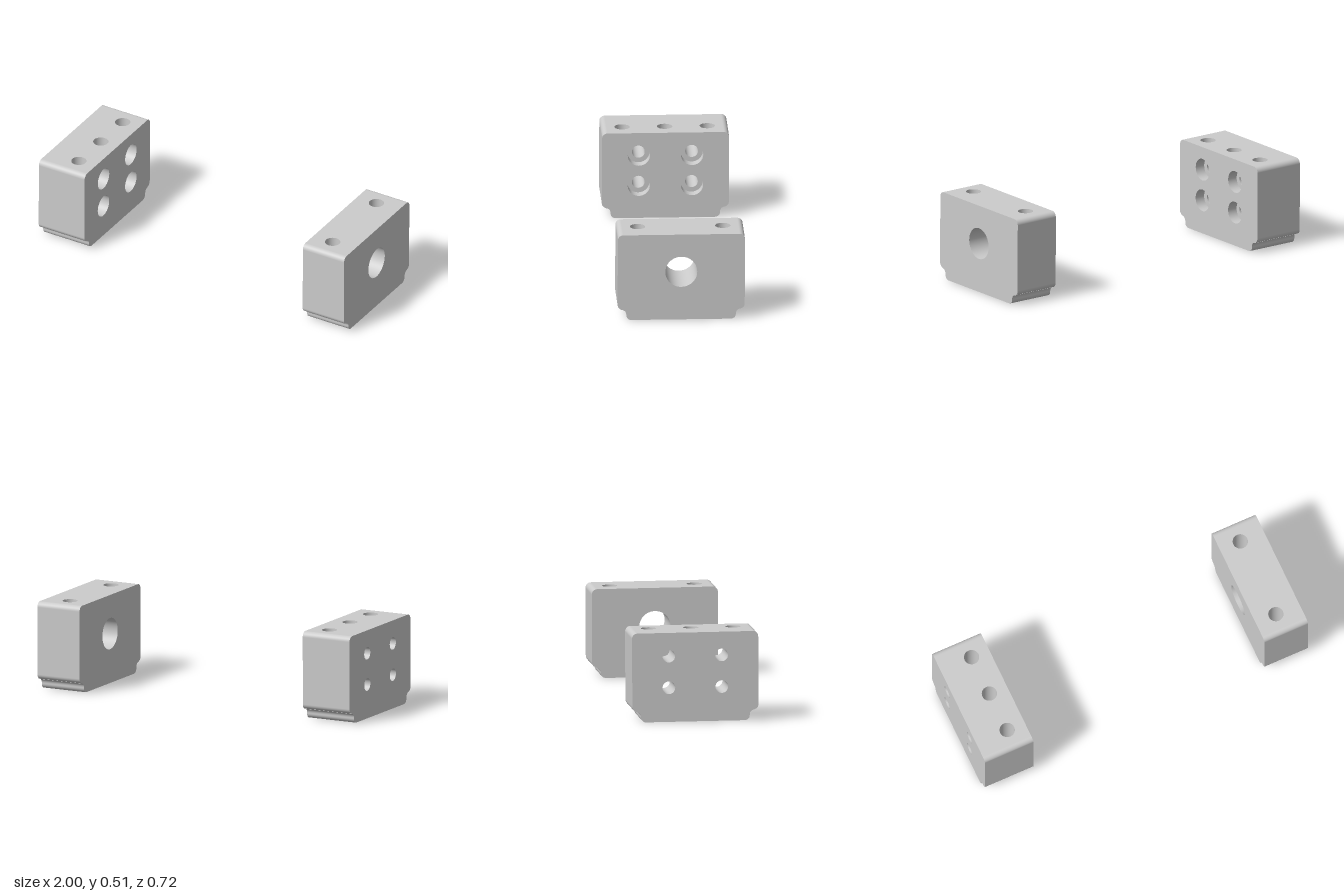
import * as THREE from 'three';

const BOTTOM = 0.003, TOP = 0.509, SEG = 48;
const FOOT = 0.28, CROWN = 0.328; // half depths of the flat bottom and top

const grey = new THREE.MeshStandardMaterial({ color: 0xcccccc });
const greyInside = new THREE.MeshStandardMaterial({ color: 0xcccccc, side: THREE.DoubleSide });

// One edge of the block profile, from the underside up past the step to the top
function profileEdge() {
  const s = new THREE.Path();
  s.moveTo(FOOT, BOTTOM);
  s.absarc(FOOT, BOTTOM + 0.028, 0.028, -Math.PI / 2, 0, false);
  s.absarc(0.336, 0.035, 0.028, Math.PI, Math.PI / 2, true);
  s.absarc(0.328, 0.093, 0.03, -Math.PI / 2, 0, false);
  s.absarc(CROWN, TOP - 0.03, 0.03, 0, Math.PI / 2, false);
  return s.getPoints(10);
}

function add(parent, name, geometry, material = grey) {
  const mesh = new THREE.Mesh(geometry, material);
  mesh.name = name;
  parent.add(mesh);
  return mesh;
}

// Flat face with round holes given as { x, y, r }
function plate(points, holes) {
  const shape = new THREE.Shape(points);
  for (const h of holes) {
    shape.holes.push(new THREE.Path().absarc(h.x, h.y, h.r, 0, Math.PI * 2, true));
  }
  return new THREE.ShapeGeometry(shape, SEG / 2);
}

// Curved side wall, swept across the block's width
function wall(edge, width) {
  const pos = [], index = [];
  edge.forEach((p, i) => {
    pos.push(-width / 2, p.y, p.x, width / 2, p.y, p.x);
    if (i) {
      const a = 2 * i - 2;
      index.push(a, a + 1, a + 3, a, a + 3, a + 2);
    }
  });
  const g = new THREE.BufferGeometry();
  g.setAttribute('position', new THREE.Float32BufferAttribute(pos, 3));
  g.setIndex(index);
  g.computeVertexNormals();
  return g;
}

// Hole wall running along x
function crossBore(r, x0, x1, y, z) {
  return new THREE.CylinderGeometry(r, r, x1 - x0, SEG, 1, true)
    .rotateZ(Math.PI / 2).translate((x0 + x1) / 2, y, z);
}

// crossHoles: { z, y, r, counterbore?, depth? }, the counterbore opens on the +x face
function block(name, { width, holeX, holeZ, crossHoles }) {
  const g = new THREE.Group();
  g.name = name;
  const half = width / 2, r = 0.043;
  const edge = profileEdge();
  const outline = [...edge, ...edge.map(p => new THREE.Vector2(-p.x, p.y)).reverse()];

  // End faces
  const outer = crossHoles.map(h => ({ x: -h.z, y: h.y, r: h.counterbore ?? h.r }));
  const inner = crossHoles.map(h => ({ x: h.z, y: h.y, r: h.r }));
  add(g, 'leftFace', plate(outline, outer).rotateY(Math.PI / 2).translate(half, 0, 0));
  add(g, 'rightFace', plate(outline, inner).rotateY(-Math.PI / 2).translate(-half, 0, 0));

  // Front and back walls with the stepped foot
  add(g, 'frontWall', wall(edge, width));
  add(g, 'backWall', wall(edge, width).rotateY(Math.PI));

  // Top and underside
  const rect = d => [[-half, -d], [half, -d], [half, d], [-half, d]].map(p => new THREE.Vector2(...p));
  const drilled = holeZ.map(z => ({ x: holeX, y: z, r }));
  add(g, 'topFace', plate(rect(CROWN), drilled).rotateX(-Math.PI / 2).translate(0, TOP, 0));
  add(g, 'underside', plate(rect(FOOT), drilled).rotateX(Math.PI / 2).translate(0, BOTTOM, 0));

  // Vertical bolt holes
  for (const z of holeZ) {
    add(g, 'boltHole', new THREE.CylinderGeometry(r, r, TOP - BOTTOM, SEG, 1, true)
      .translate(holeX, (TOP + BOTTOM) / 2, z), greyInside);
  }

  // Cross holes, with a ledge where counterbored
  for (const h of crossHoles) {
    const ledge = half - (h.depth ?? 0);
    add(g, 'crossHole', crossBore(h.r, -half, ledge, h.y, h.z), greyInside);
    if (h.counterbore) {
      add(g, 'counterbore', crossBore(h.counterbore, ledge, half, h.y, h.z), greyInside);
      add(g, 'counterboreLedge', new THREE.RingGeometry(h.r, h.counterbore, SEG)
        .rotateY(Math.PI / 2).translate(ledge, h.y, h.z));
    }
  }
  return g;
}

export function createModel() {
  const model = new THREE.Group();
  model.name = 'mountingBlocks';

  // Wider block with four counterbored screw holes
  const screwHoles = [];
  for (const z of [-0.15, 0.15]) {
    for (const y of [0.197, 0.377]) screwHoles.push({ z, y, r: 0.036, counterbore: 0.063, depth: 0.06 });
  }
  const right = block('rightBlock', {
    width: 0.3, holeX: 0.042, holeZ: [-0.24, 0, 0.24], crossHoles: screwHoles,
  });
  right.position.x = -0.85;

  // Narrower block with one large shaft hole
  const left = block('leftBlock', {
    width: 0.27, holeX: -0.01, holeZ: [-0.24, 0.24], crossHoles: [{ z: 0, y: 0.287, r: 0.09 }],
  });
  left.position.x = 0.865;

  model.add(right, left);
  // Slight tilt of the pair
  for (const b of [right, left]) b.rotation.x = -0.004;
  return model;
}
